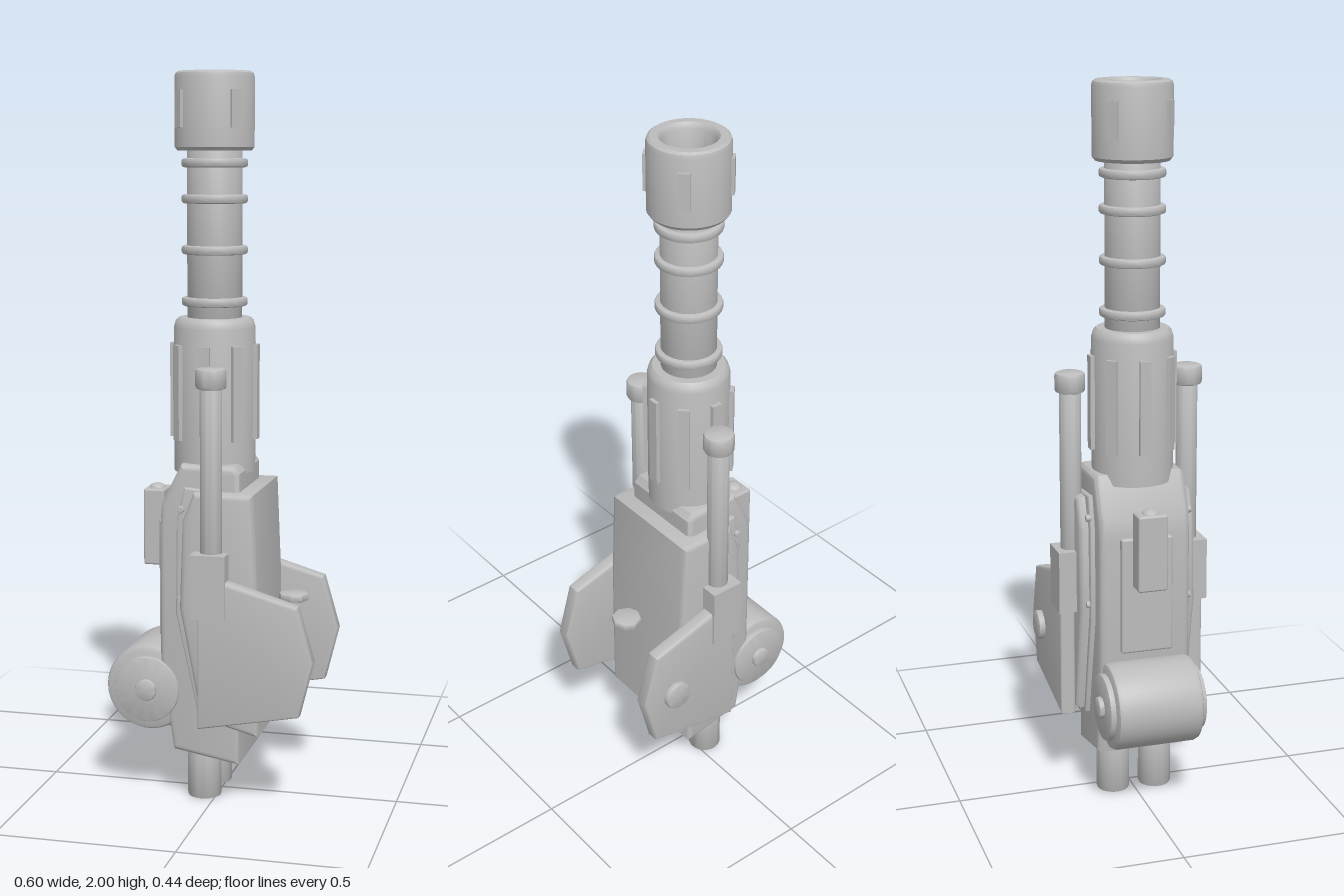
import * as THREE from 'three';
import { toCreasedNormals } from 'three/addons/utils/BufferGeometryUtils.js';
import { RoundedBoxGeometry } from 'three/addons/geometries/RoundedBoxGeometry.js';

export function createModel() {
  const root = new THREE.Group();
  const model = new THREE.Group();
  model.name = 'cannon';
  model.position.z = 0.005;
  root.add(model);
  const metal = new THREE.MeshStandardMaterial({ color: 0xbcbcbc });
  metal.name = 'plain metal';

  const add = (name, geometry, x = 0, y = 0, z = 0) => {
    const mesh = new THREE.Mesh(geometry, metal);
    mesh.name = name;
    mesh.position.set(x, y, z);
    model.add(mesh);
    return mesh;
  };
  const v2 = (pts) => pts.map(([x, y]) => new THREE.Vector2(x, y));
  // Turned part from a list of radius and height pairs
  const turned = (pts, sides = 40) => toCreasedNormals(new THREE.LatheGeometry(v2(pts), sides), 0.6);
  // Closed rod with softened ends, standing on y = 0
  const rod = (r, h, b = 0.008, sides = 32) => turned([
    [0, 0], [r - b, 0], [r - b * 0.3, b * 0.3], [r, b],
    [r, h - b], [r - b * 0.3, h - b * 0.3], [r - b, h], [0, h]], sides);
  // Bevelled side profile with thickness along z, centred on z = 0
  const slab = (pts, width, bevel) => {
    const g = new THREE.ExtrudeGeometry(new THREE.Shape(v2(pts)), {
      depth: width - 2 * bevel, bevelEnabled: true, bevelThickness: bevel,
      bevelSize: bevel, bevelOffset: -bevel, bevelSegments: 3,
    });
    g.translate(0, 0, -width / 2 + bevel);
    return toCreasedNormals(g, 0.6);
  };
  const axis = -0.02;

  // Muzzle with open bore
  add('muzzle', turned([
    [0.07, 1.79], [0.1, 1.79], [0.108, 1.8], [0.108, 1.985], [0.105, 1.995], [0.098, 2],
    [0.078, 2], [0.072, 1.994], [0.07, 1.985], [0.055, 1.94], [0.055, 1.88], [0, 1.88]]), axis);

  // Barrel and its rings
  add('barrel', rod(0.075, 0.49, 0.002), axis, 1.32);
  for (const y of [1.385, 1.525, 1.662, 1.758]) {
    add('barrelRing', rod(0.09, 0.024, 0.007), axis, y - 0.012);
  }

  // Barrel sleeve
  add('barrelSleeve', turned([
    [0, 0.92], [0.112, 0.92], [0.112, 1.315], [0.107, 1.333], [0.098, 1.342], [0, 1.342]]), axis);

  // Raised ribs around sleeve and muzzle
  const ribs = (name, count, start, radius, y, height) => {
    for (let i = 0; i < count; i++) {
      const a = start + i * 2 * Math.PI / count;
      const rib = add(name, new THREE.BoxGeometry(0.03, height, 0.03),
        axis + Math.sin(a) * radius, y, Math.cos(a) * radius);
      rib.rotation.y = a;
    }
  };
  ribs('sleeveRib', 8, 0, 0.108, 1.14, 0.26);
  ribs('muzzleRib', 4, Math.PI / 4, 0.1, 1.9, 0.1);

  // Central column
  add('column', slab([
    [-0.085, 0.95], [-0.14, 0.84], [-0.145, 0.78], [-0.145, 0.4], [-0.108, 0.145],
    [0.078, 0.113], [0.08, 0.93], [0.065, 0.95]], 0.258, 0.016));

  // Wide front housing
  add('housing', slab([
    [-0.04, 0.88], [-0.072, 0.8], [-0.08, 0.56], [-0.02, 0.25],
    [0.14, 0.208], [0.137, 0.6], [0.125, 0.88]], 0.333, 0.016));

  // Side trim plates with screws
  for (const s of [-1, 1]) {
    add('sideTrim', slab([
      [-0.07, 0.89], [-0.092, 0.8], [-0.095, 0.54], [-0.03, 0.24], [0.05, 0.24], [0.05, 0.88]],
    0.02, 0.005), 0, 0, s * 0.132);
    for (const y of [0.83, 0.58]) {
      const screw = add('trimScrew', rod(0.01, 0.016, 0.004, 16), -0.079, y, s * 0.136);
      screw.rotation.x = s * Math.PI / 2;
    }
  }

  // Rear plate and sight pod
  add('rearPlate', new RoundedBoxGeometry(0.03, 0.33, 0.146, 3, 0.006), -0.146, 0.62, 0);
  add('pod', new RoundedBoxGeometry(0.06, 0.215, 0.084, 2, 0.006), -0.185, 0.755, 0);
  const knob = add('podKnob', new THREE.SphereGeometry(0.024, 16, 10), -0.185, 0.86, 0);
  knob.scale.y = 0.6;

  // Rear drum with end discs and hubs
  const drum = add('drum', rod(0.12, 0.245, 0.014, 48), -0.182, 0.315, -0.1225);
  drum.rotation.x = Math.PI / 2;
  for (const s of [-1, 1]) {
    const disc = add('drumDisc', rod(0.092, 0.03, 0.004, 40), -0.182, 0.315, s * 0.108);
    const hub = add('drumHub', rod(0.03, 0.04, 0.005, 24), -0.182, 0.315, s * 0.112);
    disc.rotation.x = hub.rotation.x = s * Math.PI / 2;
  }

  // Side rods, brackets and angular shields
  for (const s of [-1, 1]) {
    add('sideRod', rod(0.03, 0.63, 0.004), 0.012, 0.56, s * 0.168);
    add('rodCap', rod(0.042, 0.056, 0.009), 0.012, 1.165, s * 0.168);
    add('rodBracket', new THREE.BoxGeometry(0.097, 0.176, 0.096), 0.012, 0.633, s * 0.168);
    add('shield', slab([
      [-0.018, 0.66], [-0.018, 0.235], [0.262, 0.288], [0.3, 0.44], [0.257, 0.59], [0.055, 0.65]],
    0.043, 0.008), 0, 0, s * 0.188);
  }
  const bolt = add('shieldBolt', rod(0.042, 0.03, 0.005, 24), 0.192, 0.43, -0.197);
  bolt.rotation.x = -Math.PI / 2;

  // Small front disc
  add('frontDisc', rod(0.042, 0.022, 0.005, 8), 0.205, 0.56, 0);

  // Twin feet
  for (const z of [-0.062, 0.062]) add('foot', rod(0.047, 0.18, 0.006), -0.034, 0, z);

  return root;
}
